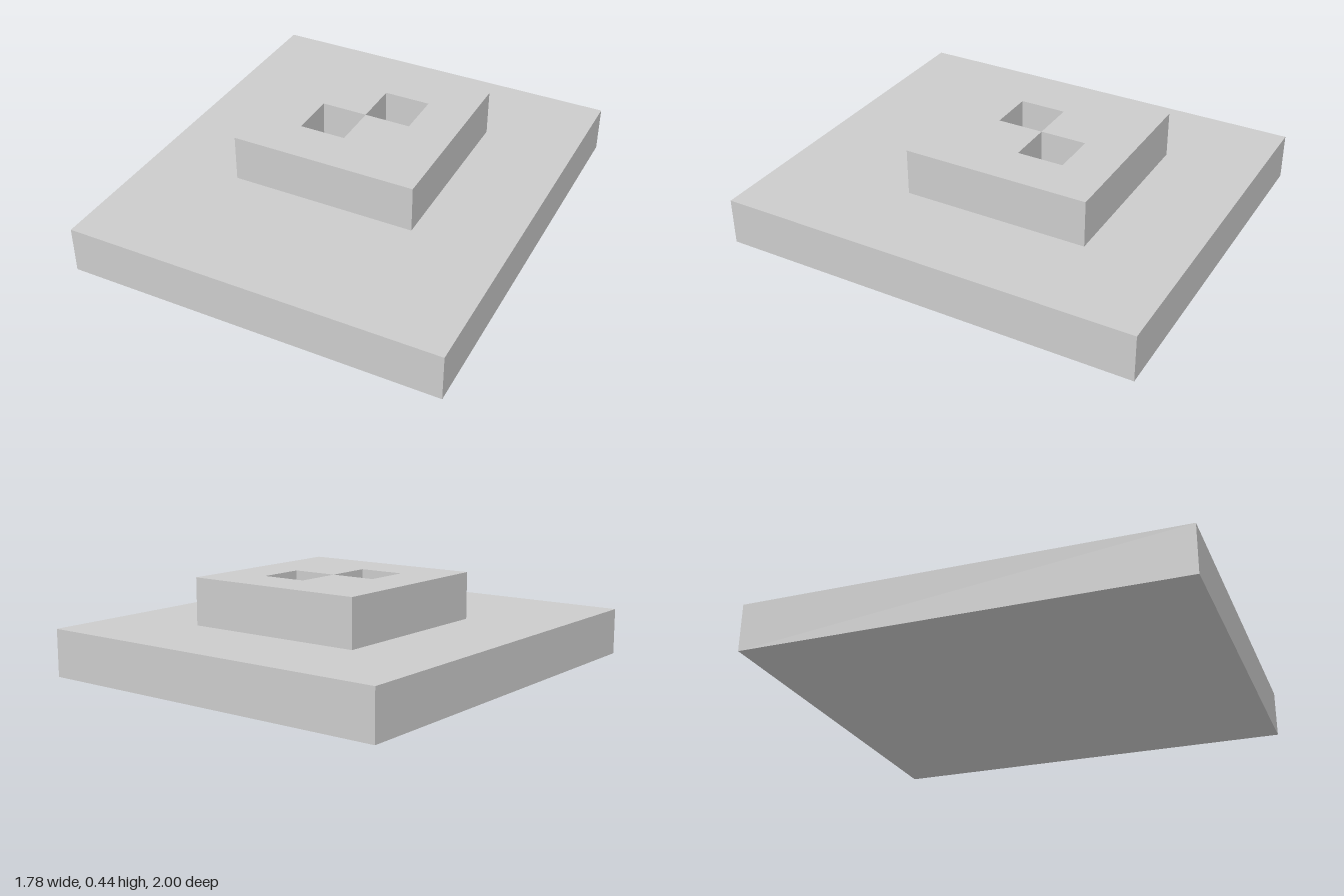
import * as THREE from 'three';

const U = 2 / 9; // every size is a multiple of this unit

export function createModel() {
  const group = new THREE.Group();
  const material = new THREE.MeshStandardMaterial({ color: 0xcccccc, flatShading: true });

  // Wide base slab
  const base = new THREE.Mesh(new THREE.BoxGeometry(8 * U, U, 9 * U), material);
  base.name = 'baseSlab';
  base.position.y = U / 2;
  group.add(base);

  // Upper block: two C-shaped halves, one turned half a circle, whose notches
  // form two square pockets that meet at the block's centre
  const outline = [[0, -2], [2, -2], [2, 2], [0, 2], [0, 1], [1, 1], [1, 0], [0, 0]];
  const shape = new THREE.Shape(outline.map(([x, y]) => new THREE.Vector2(x * U, y * U)));
  const halfGeometry = new THREE.ExtrudeGeometry(shape, { depth: U, bevelEnabled: false });
  halfGeometry.rotateX(-Math.PI / 2);

  const block = new THREE.Group();
  block.name = 'upperBlock';
  block.position.set(0, U, -U / 2);
  ['leftHalf', 'rightHalf'].forEach((name, i) => {
    const half = new THREE.Mesh(halfGeometry, material);
    half.name = name;
    half.rotation.y = i * Math.PI;
    block.add(half);
  });
  group.add(block);

  return group;
}
